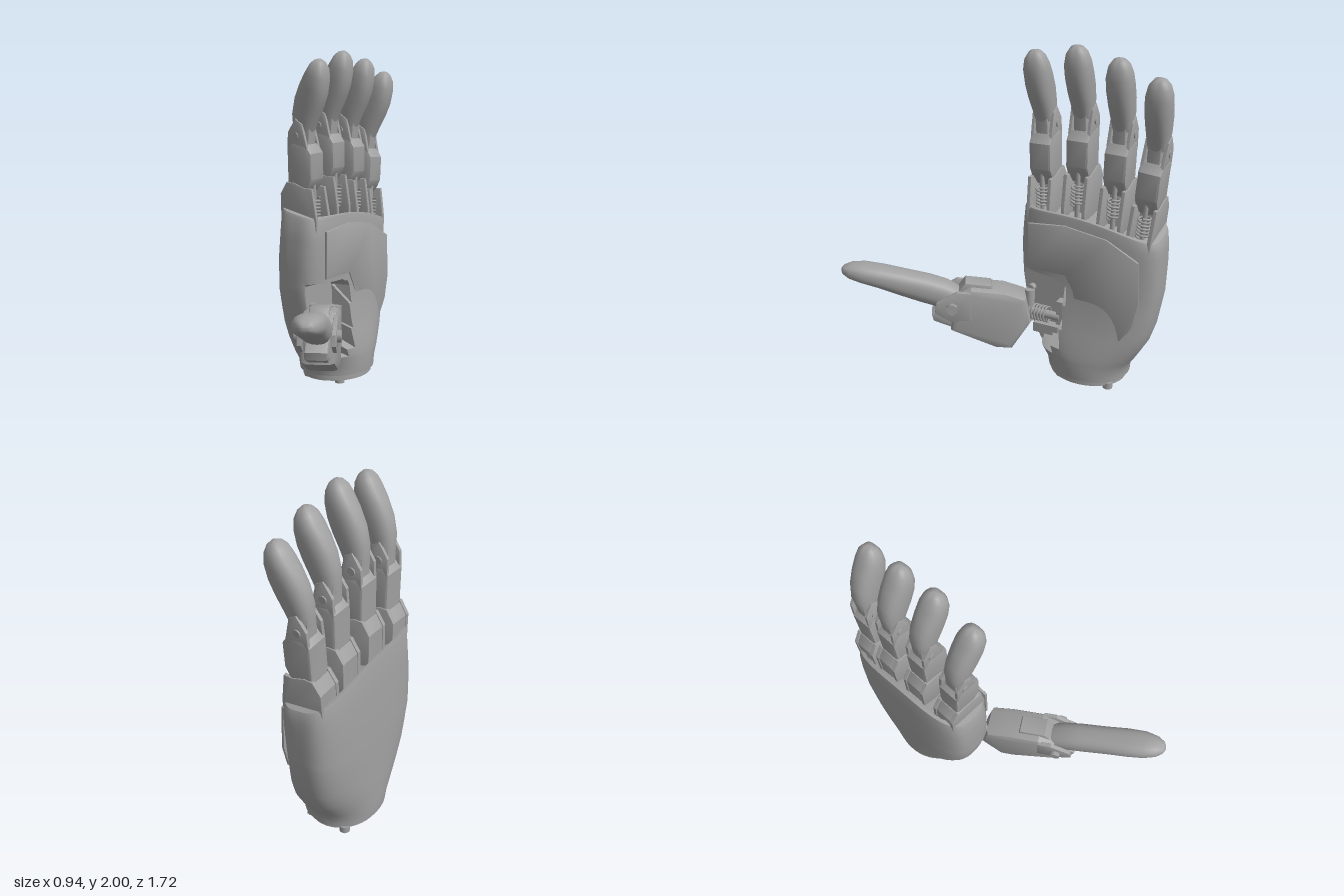
import * as THREE from 'three';
import { toCreasedNormals } from 'three/addons/utils/BufferGeometryUtils.js';

const grey = new THREE.MeshStandardMaterial({ color: 0xa0a0a0 });
grey.name = 'grey';

function add(parent, name, geometry, x = 0, y = 0, z = 0) {
  const m = new THREE.Mesh(geometry, grey);
  m.name = name;
  m.position.set(x, y, z);
  parent.add(m);
  return m;
}

// Skin closed rings of points, running counter-clockwise about the travel direction
function loft(rings, crease = 0.6) {
  const n = rings[0].length, pos = [], idx = [];
  rings.forEach(r => r.forEach(p => pos.push(p.x, p.y, p.z)));
  for (let i = 0; i < rings.length - 1; i++)
    for (let j = 0; j < n; j++) {
      const a = i * n + j, b = i * n + (j + 1) % n;
      idx.push(a, b, a + n, b, b + n, a + n);
    }
  const last = (rings.length - 1) * n;
  [rings[0], rings[rings.length - 1]].forEach((r, k) => {
    const c = r.reduce((s, p) => s.add(p), new THREE.Vector3()).divideScalar(n);
    const ci = pos.length / 3;
    pos.push(c.x, c.y, c.z);
    for (let j = 0; j < n; j++) {
      const j2 = (j + 1) % n;
      if (k === 0) idx.push(ci, j2, j);
      else idx.push(ci, last + j, last + j2);
    }
  });
  const g = new THREE.BufferGeometry();
  g.setAttribute('position', new THREE.Float32BufferAttribute(pos, 3));
  g.setIndex(idx);
  return toCreasedNormals(g, crease);
}

// Unit superellipse: n = 2 is round, larger is squarer
function oval(n, count) {
  return Array.from({ length: count }, (_, i) => {
    const t = i / count * Math.PI * 2, c = Math.cos(t), s = Math.sin(t);
    const r = (Math.abs(c) ** n + Math.abs(s) ** n) ** (-1 / n);
    return [c * r, s * r];
  });
}

// Limb through sections [x, y, half thickness, half width, angle of thickness axis]
function limb(sections) {
  return loft(sections.map(([x, y, h, w, a]) => oval(2.6, 24).map(([c, s]) =>
    new THREE.Vector3(x + Math.cos(a) * h * c, y + Math.sin(a) * h * c, -w * s))));
}

// Bevelled plate with an outline in x and y, centred on z = 0
function slab(points, width, bevel = 0.008) {
  const g = new THREE.ExtrudeGeometry(new THREE.Shape(points.map(p => new THREE.Vector2(...p))), {
    depth: width - 2 * bevel, bevelThickness: bevel, bevelSize: bevel, bevelOffset: -bevel, bevelSegments: 2 });
  return toCreasedNormals(g.translate(0, 0, bevel - width / 2), 0.5);
}

// Coil spring standing on y = 0
function spring(radius, height, turns) {
  const pts = Array.from({ length: turns * 10 + 1 }, (_, i) => {
    const t = i / 10 * Math.PI * 2;
    return new THREE.Vector3(Math.cos(t) * radius, i / (turns * 10) * height, Math.sin(t) * radius);
  });
  return new THREE.TubeGeometry(new THREE.CatmullRomCurve3(pts), turns * 14, 0.006, 6);
}

// Straight-line lookup in rows whose first entry rises
function sample(rows, y) {
  let i = 0;
  while (i < rows.length - 2 && y > rows[i + 1][0]) i++;
  const a = rows[i], b = rows[i + 1];
  const t = THREE.MathUtils.clamp((y - a[0]) / (b[0] - a[0]), 0, 1);
  return a.map((v, k) => v + (b[k] - v) * t);
}

function palmGeometry() {
  // y, back x, palm x, far z, near z, squareness
  const rows = [
    [0.06, -0.47, -0.035, -0.66, -0.17, 2.1], [0.12, -0.475, -0.03, -0.665, -0.16, 2.1],
    [0.2, -0.475, -0.032, -0.715, -0.1, 2.2], [0.3, -0.475, -0.05, -0.77, -0.05, 2.4],
    [0.4, -0.472, -0.07, -0.8, -0.02, 2.7], [0.6, -0.468, -0.095, -0.83, 0.015, 3.1],
    [0.8, -0.458, -0.095, -0.835, 0.018, 3.4], [0.92, -0.45, -0.095, -0.832, 0.01, 3.5],
    [1.05, -0.44, -0.1, -0.825, 0.0, 3.5]];
  // Inner end of the thumb opening at each height
  const opening = [[0.185, -0.17], [0.23, -0.23], [0.3, -0.28], [0.4, -0.3], [0.61, -0.3], [0.645, -0.27]];
  const ring = (y, scale = 1, top = null) => {
    const [, x0, x1, z0, z1, n] = sample(rows, y);
    const cx = (x0 + x1) / 2, cz = (z0 + z1) / 2;
    return oval(n, 120).map(([c, s]) => {
      let x = cx + c * scale * (x1 - x0) / 2;
      const z = cz - s * scale * (z1 - z0) / 2;
      if (y > 0.18 && y < 0.65 && z > sample(opening, y)[1]) x = Math.min(x, -0.195);
      const rim = 1.125 - 0.075 * (x + 0.44) / 0.34 - 0.11 * ((z + 0.25) / 0.55) ** 2;
      return new THREE.Vector3(x, top === null ? y : rim + top, z);
    });
  };
  const heights = [0.06, 0.075, 0.12, 0.175, 0.185, 0.23, 0.3, 0.35, 0.4, 0.5, 0.61, 0.645, 0.66, 0.73, 0.8, 0.86, 0.91];
  return loft([...heights.map(y => ring(y)), ring(1.05, 1, -0.015), ring(1.05, 0.98, 0),
    ring(1.05, 0.9, 0), ring(1.05, 0.88, -0.05)], 0.5);
}

function finger(name) {
  const g = new THREE.Group();
  g.name = name;
  const cheek = [[-0.395, 0.98], [-0.395, 1.19], [-0.35, 1.26], [-0.3, 1.26], [-0.22, 1.23], [-0.17, 1.23], [-0.14, 1.05], [-0.14, 0.98]];
  const ear = [[-0.34, 1.44], [-0.335, 1.55], [-0.28, 1.63], [-0.235, 1.6], [-0.2, 1.46]];
  for (const s of [-1, 1]) {
    add(g, 'knuckleCheek', slab(cheek, 0.022, 0.004), 0, 0, s * 0.062);
    add(g, 'jointEar', slab(ear, 0.02, 0.004), 0, 0, s * 0.056);
    add(g, 'jointPin', new THREE.CylinderGeometry(0.022, 0.022, 0.012, 16).rotateX(Math.PI / 2), -0.28, 1.53, s * 0.067);
  }
  add(g, 'knuckleBack', slab([[-0.39, 0.98], [-0.39, 1.185], [-0.35, 1.25], [-0.28, 1.22], [-0.26, 0.98]], 0.12));
  add(g, 'tendonSpring', spring(0.034, 0.12, 6), -0.205, 1.05);
  add(g, 'springRod', new THREE.CylinderGeometry(0.014, 0.014, 0.3, 12), -0.205, 1.12);
  add(g, 'middleLink', slab([[-0.345, 1.17], [-0.345, 1.46], [-0.31, 1.5], [-0.21, 1.48], [-0.175, 1.43],
    [-0.175, 1.28], [-0.2, 1.23], [-0.25, 1.17]], 0.134, 0.015));
  add(g, 'jointStem', slab([[-0.32, 1.44], [-0.32, 1.6], [-0.2, 1.6], [-0.215, 1.44]], 0.075));
  add(g, 'fingertip', limb([[-0.265, 1.55, 0.06, 0.052, 0], [-0.25, 1.64, 0.08, 0.063, -0.2],
    [-0.222, 1.72, 0.09, 0.068, -0.35], [-0.187, 1.8, 0.086, 0.071, -0.45], [-0.16, 1.87, 0.07, 0.07, -0.4],
    [-0.147, 1.92, 0.053, 0.058, -0.35], [-0.14, 1.95, 0.032, 0.036, -0.35], [-0.137, 1.962, 0.01, 0.012, -0.35]]));
  return g;
}

function thumb() {
  const g = new THREE.Group();
  g.name = 'thumb';
  g.position.set(-0.085, 0, -0.04);
  g.rotation.y = -Math.PI / 3; // local x runs along the thumb
  add(g, 'thumbBody', slab([[-0.05, 0.36], [-0.02, 0.52], [0.1, 0.565], [0.3, 0.59], [0.4, 0.54],
    [0.42, 0.32], [0.16, 0.2], [0.06, 0.19]], 0.2, 0.035));
  add(g, 'thumbUnderside', slab([[0.2, 0.24], [0.52, 0.375], [0.53, 0.42], [0.4, 0.5], [0.2, 0.5]], 0.13, 0.015));
  add(g, 'topCover', slab([[0.17, 0.56], [0.18, 0.595], [0.33, 0.615], [0.37, 0.56]], 0.11));
  for (const s of [-1, 1]) {
    add(g, 'thumbFork', slab([[0.3, 0.4], [0.3, 0.57], [0.38, 0.58], [0.5, 0.51], [0.51, 0.45], [0.42, 0.39]], 0.024, 0.004), 0, 0, s * 0.093);
    add(g, 'thumbPivot', new THREE.CylinderGeometry(0.035, 0.035, 0.03, 6).rotateX(Math.PI / 2), 0.41, 0.48, s * 0.114);
  }
  add(g, 'thumbTip', limb([[0.36, 0.49, 0.06, 0.065, -1.25], [0.46, 0.53, 0.082, 0.078, -1.22], [0.56, 0.565, 0.083, 0.08, -1.22],
    [0.7, 0.61, 0.074, 0.08, -1.22], [0.82, 0.65, 0.064, 0.084, -1.24], [0.92, 0.677, 0.056, 0.08, -1.3],
    [0.99, 0.69, 0.044, 0.062, -1.35], [1.03, 0.696, 0.024, 0.036, -1.4], [1.042, 0.698, 0.006, 0.01, -1.4]]));
  return g;
}

export function createModel() {
  const hand = new THREE.Group();
  hand.name = 'roboticHand';

  // Palm shell and its inset front panel
  add(hand, 'palm', palmGeometry());
  const panel = [[0.07, 0.97], [0.3, 0.995], [0.55, 0.96], [0.74, 0.86], [0.755, 0.6], [0.72, 0.45],
    [0.62, 0.3], [0.4, 0.36], [0.36, 0.6], [0.31, 0.69], [0.07, 0.69]];
  add(hand, 'palmPanel', slab(panel, 0.016, 0.004).rotateY(Math.PI / 2), -0.097);

  // Wrist flange and feet
  const flange = add(hand, 'wristFlange', new THREE.CylinderGeometry(0.2, 0.2, 0.05, 48), -0.25, 0.05, -0.41);
  flange.scale.z = 1.15;
  for (const x of [-0.37, -0.14]) for (const z of [-0.28, -0.58])
    add(hand, 'wristBolt', new THREE.CylinderGeometry(0.03, 0.03, 0.04, 12), x, 0.02, z);
  add(hand, 'wristSocket', new THREE.BoxGeometry(0.1, 0.02, 0.06), -0.25, 0.02, -0.41);

  // Thumb drive inside the opening
  add(hand, 'driveBlock', new THREE.BoxGeometry(0.07, 0.15, 0.05), -0.17, 0.41, -0.265);
  add(hand, 'driveBase', new THREE.BoxGeometry(0.08, 0.06, 0.16), -0.18, 0.28, -0.17);
  add(hand, 'driveShaft', new THREE.CylinderGeometry(0.025, 0.025, 0.24, 16).rotateX(Math.PI / 2), -0.15, 0.38, -0.14);
  add(hand, 'driveSpring', spring(0.045, 0.12, 6).rotateX(Math.PI / 2), -0.15, 0.38, -0.19);
  add(hand, 'thumbHinge', new THREE.CylinderGeometry(0.03, 0.03, 0.2, 16), -0.15, 0.42, -0.06);
  add(hand, 'drivePin', new THREE.CylinderGeometry(0.022, 0.022, 0.04, 12).rotateZ(Math.PI / 2), -0.18, 0.52, -0.06);

  hand.add(thumb());

  // Fingers: name, z at the base, height offset, sideways lean
  for (const [name, z, dy, lean] of [['indexFinger', -0.11, -0.01, 0.035], ['middleFinger', -0.325, 0.038, 0.005],
    ['ringFinger', -0.54, -0.004, -0.022], ['littleFinger', -0.715, -0.08, -0.075]]) {
    const f = finger(name);
    const y = 1.05;
    f.children.forEach(c => { c.position.y -= y; });
    f.position.set(0, y + dy, z);
    f.rotation.x = lean;
    hand.add(f);
  }
  return hand;
}
